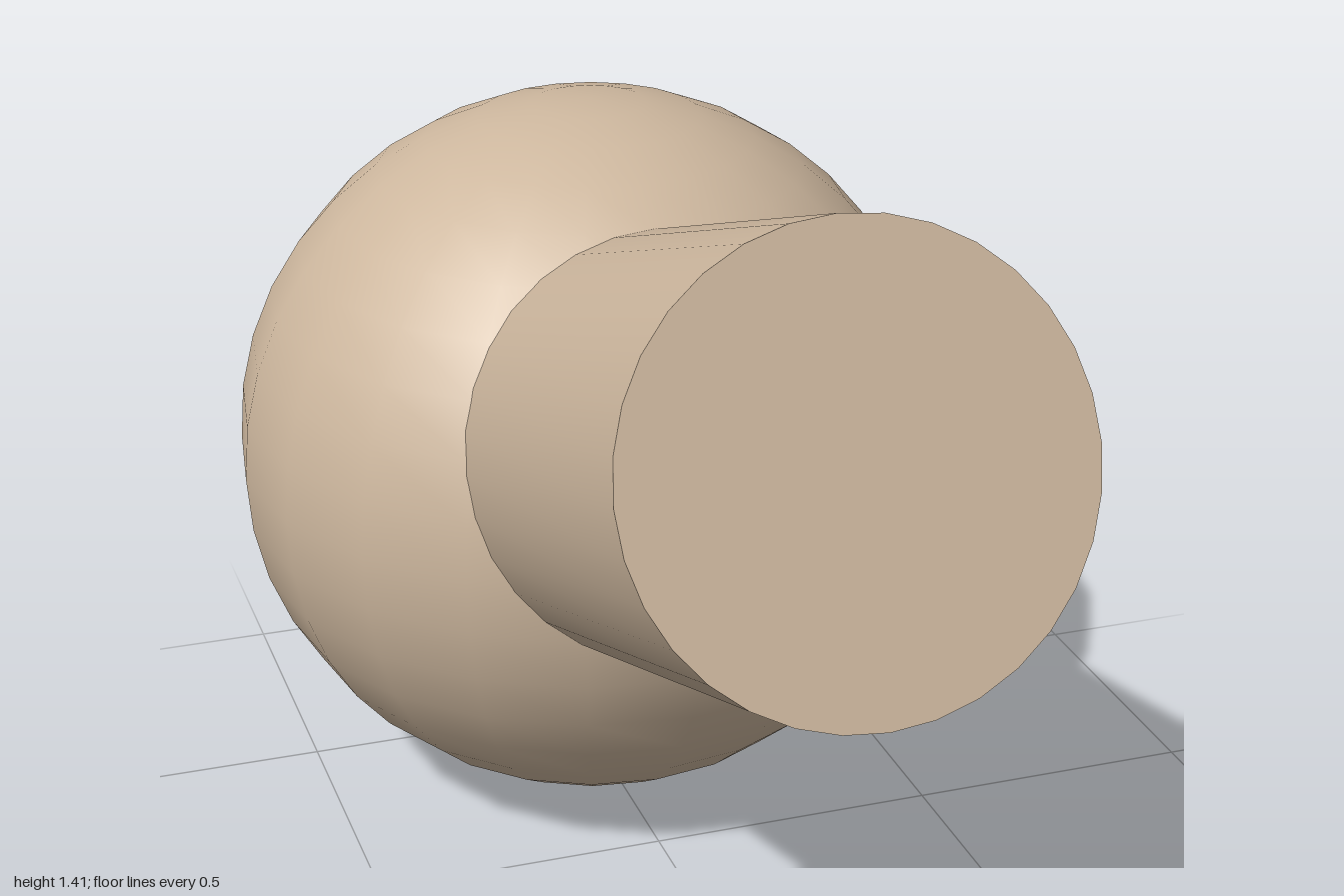
import * as THREE from 'three';

export function createModel() {
  const group = new THREE.Group();
  const material = new THREE.MeshStandardMaterial({ color: 0xcdb79e });
  const radius = 0.622, neckRadius = 0.354;
  const neckStart = 0.49, neckEnd = 1.335; // distances from the ball's centre
  const tilt = THREE.MathUtils.degToRad(20);

  // Ball
  const ball = new THREE.Mesh(new THREE.SphereGeometry(radius, 20, 20), material);
  ball.name = 'ball';
  ball.position.set(0, radius, -0.376);
  group.add(ball);

  // Neck: flat-ended cylinder leaving the ball forwards and upwards
  const neckGeometry = new THREE.CylinderGeometry(neckRadius, neckRadius, neckEnd - neckStart, 32);
  neckGeometry.translate(0, (neckStart + neckEnd) / 2, 0);
  const neck = new THREE.Mesh(neckGeometry, material);
  neck.name = 'neck';
  neck.position.copy(ball.position);
  neck.rotation.x = Math.PI / 2 - tilt;
  group.add(neck);

  return group;
}
